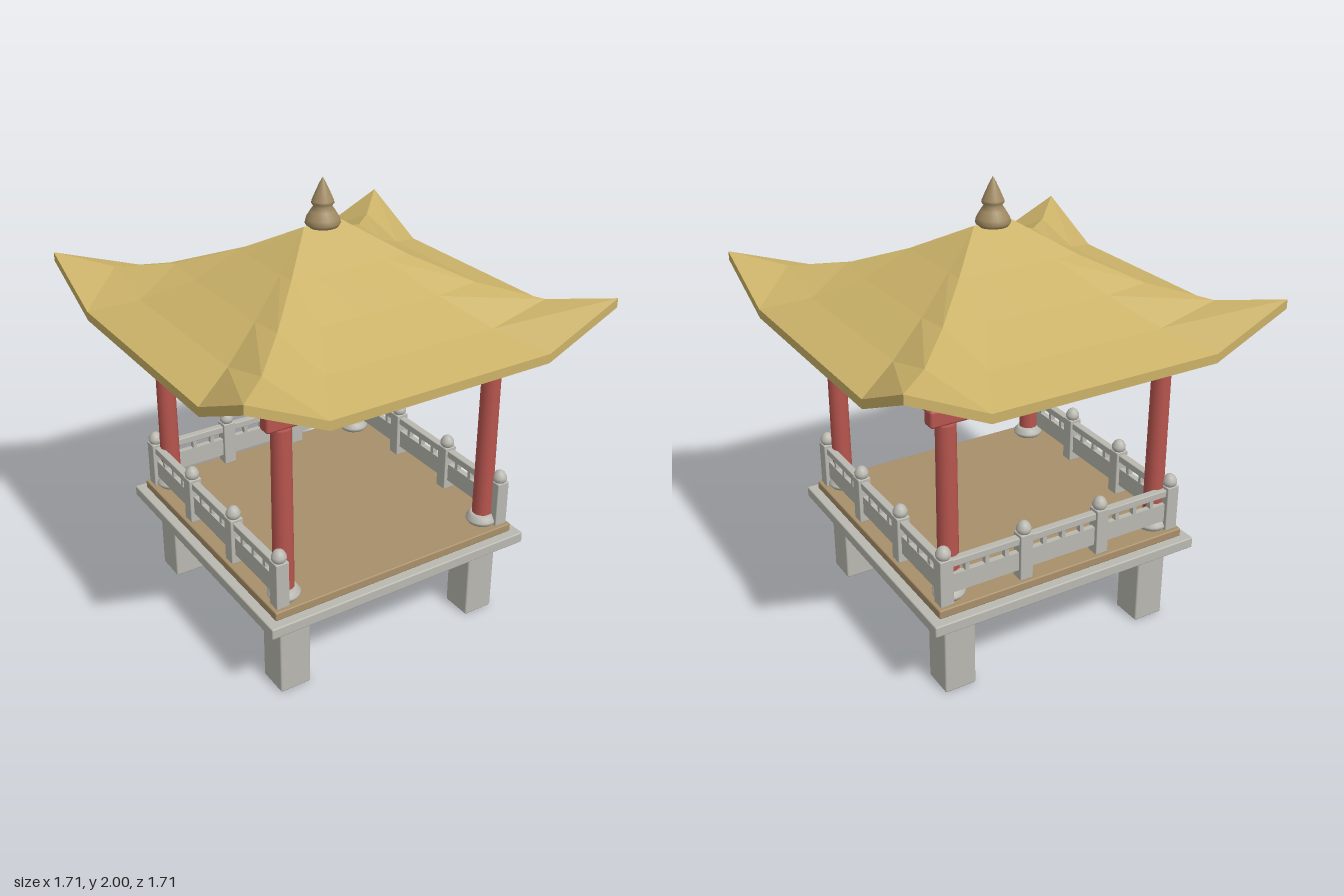
import * as THREE from 'three';
import { RoundedBoxGeometry } from 'three/addons/geometries/RoundedBoxGeometry.js';

const mat = (color, extra = {}) => new THREE.MeshStandardMaterial({ color, ...extra });

export function createModel() {
  const model = new THREE.Group();
  const stone = mat(0xb9b8b0), wood = mat(0xa88f6a), red = mat(0xb8554e);
  const gold = mat(0xcbb269, { flatShading: true, side: THREE.DoubleSide });
  const brown = mat(0x66524a, { flatShading: true, side: THREE.DoubleSide });
  const bronze = mat(0xa08a62);

  const add = (parent, name, geometry, material, x = 0, y = 0, z = 0) => {
    const mesh = new THREE.Mesh(geometry, material);
    mesh.name = name;
    mesh.position.set(x, y, z);
    parent.add(mesh);
    return mesh;
  };
  // Box given by its size, its centre in x and z, and its bottom
  const box = (parent, name, material, w, h, d, x, y, z, r = 0) =>
    add(parent, name, r ? new RoundedBoxGeometry(w, h, d, 2, r) : new THREE.BoxGeometry(w, h, d),
      material, x, y + h / 2, z);
  const lathe = (points, sides) =>
    new THREE.LatheGeometry(points.map(([r, y]) => new THREE.Vector2(r, y)), sides);

  // Platform
  box(model, 'stoneSlab', stone, 1.3, 0.05, 1.3, 0, 0.37, 0, 0.006);
  box(model, 'woodDeck', wood, 1.22, 0.04, 1.22, 0, 0.42, 0, 0.006);

  // Legs, columns and brackets at the four corners
  const baseGeo = lathe([[0, 0], [0.06, 0], [0.07, 0.012], [0.07, 0.022], [0.058, 0.038], [0.05, 0.05], [0, 0.05]], 20);
  const columnGeo = new THREE.CylinderGeometry(0.042, 0.045, 0.75, 16);
  for (const sx of [-1, 1]) for (const sz of [-1, 1]) {
    box(model, 'leg', stone, 0.145, 0.37, 0.145, sx * 0.493, 0, sz * 0.493, 0.008);
    const c = 0.517;
    add(model, 'columnBase', baseGeo, stone, sx * c, 0.46, sz * c);
    add(model, 'column', columnGeo, red, sx * c, 0.865, sz * c);

    const bracket = new THREE.Group();
    bracket.name = 'bracket';
    bracket.position.set(sx * c, 1.315, sz * c);
    model.add(bracket);
    box(bracket, 'bracketBlock', red, 0.06, 0.022, 0.06, 0, 0, 0);
    // Crossed arms in tiers: height, reach along x, reach along z
    for (const [y, rx, rz] of [[0.022, 0.07, 0.055], [0.06, 0.092, 0.085], [0.092, 0.13, 0.1]]) {
      box(bracket, 'bracketArm', red, rx * 2, 0.016, 0.026, 0, y, 0);
      box(bracket, 'bracketArm', red, 0.026, 0.016, rz * 2, 0, y, 0);
      box(bracket, 'bracketBlock', red, 0.045, 0.024, 0.045, 0, y + 0.014, 0);
      for (const s of [-1, 1]) {
        box(bracket, 'armBlock', red, 0.026, 0.022, 0.03, s * (rx - 0.03), y + 0.016, 0);
        box(bracket, 'armBlock', red, 0.03, 0.022, 0.026, 0, y + 0.016, s * (rz - 0.03));
      }
    }
  }

  // Beams
  for (const s of [-1, 1]) {
    box(model, 'longBeam', red, 1.19, 0.075, 0.06, 0, 1.24, s * 0.517, 0.012);
    box(model, 'crossBeam', red, 0.06, 0.075, 0.925, s * 0.517, 1.24, 0, 0.012);
  }

  // Railings on the back and both sides; the front stays open
  const capGeo = lathe([[0, 0], [0.025, 0], [0.032, 0.012], [0.032, 0.026], [0.022, 0.045], [0.01, 0.054], [0, 0.055]], 14);
  const half = 0.565;
  const post = (parent, x, z) => {
    box(parent, 'railPost', stone, 0.06, 0.215, 0.06, x, 0.46, z, 0.004);
    add(parent, 'postCap', capGeo, stone, x, 0.673, z);
  };
  for (const angle of [Math.PI, Math.PI / 2, -Math.PI / 2]) {
    const rail = new THREE.Group();
    rail.name = 'railing';
    rail.rotation.y = angle;
    model.add(rail);
    box(rail, 'topRail', stone, half * 2, 0.034, 0.036, 0, 0.628, half, 0.004);
    box(rail, 'railPanel', stone, half * 2, 0.086, 0.026, 0, 0.505, half);
    for (const x of [-0.19, 0.19]) post(rail, x, half);
    for (let i = -6; i <= 6; i++)
      box(rail, 'railDivider', stone, 0.018, 0.045, 0.024, i * 0.0925, 0.587, half);
  }
  for (const sx of [-1, 1]) for (const sz of [-1, 1]) post(model, sx * half, sz * half);

  // Roof: four concave slopes with upturned corners
  const E = 0.855, RIDGE = 0.09, THICK = 0.04;
  const rows = [0, 0.25, 0.5, 0.75, 1], cols = [-1, -0.6, -0.2, 0.2, 0.6, 1];
  const roofPoint = (side, t, s, drop) => {
    const y = 1.42 + 0.385 * (1 - t) ** 1.38
      + 0.16 * t ** 3 * Math.max(0, (Math.abs(s) - 0.6) / 0.4) - drop;
    const hx = RIDGE + (E - RIDGE) * t, hz = E * t;
    const sign = side < 2 ? 1 : -1;
    return side % 2 === 0 ? [sign * s * hx, y, sign * hz] : [sign * hx, y, -sign * s * hz];
  };
  const quadMesh = (name, quads, material) => {
    const pos = quads.flatMap(([a, b, c, d]) => [...a, ...b, ...c, ...a, ...c, ...d]);
    const geo = new THREE.BufferGeometry();
    geo.setAttribute('position', new THREE.Float32BufferAttribute(pos, 3));
    geo.computeVertexNormals();
    add(model, name, geo, material);
  };
  const tiles = [], soffit = [], fascia = [];
  for (let side = 0; side < 4; side++) for (let j = 0; j < cols.length - 1; j++) {
    const [l, r] = [cols[j], cols[j + 1]];
    for (let i = 0; i < rows.length - 1; i++) {
      const cell = (drop) => [[rows[i], l], [rows[i + 1], l], [rows[i + 1], r], [rows[i], r]]
        .map(([t, s]) => roofPoint(side, t, s, drop));
      tiles.push(cell(0));
      soffit.push(cell(THICK).reverse());
    }
    fascia.push([roofPoint(side, 1, l, 0), roofPoint(side, 1, l, THICK),
      roofPoint(side, 1, r, THICK), roofPoint(side, 1, r, 0)]);
  }
  quadMesh('roofTop', tiles, gold);
  quadMesh('roofUnderside', soffit, brown);
  quadMesh('eaveEdge', fascia, gold);

  // Finial
  add(model, 'finial', lathe([[0, 0], [0.066, 0], [0.075, 0.014], [0.07, 0.035], [0.052, 0.065], [0.038, 0.085],
    [0.048, 0.098], [0.046, 0.108], [0.03, 0.145], [0.014, 0.18], [0, 0.205]], 24), bronze, 0, 1.795, 0);

  return model;
}
